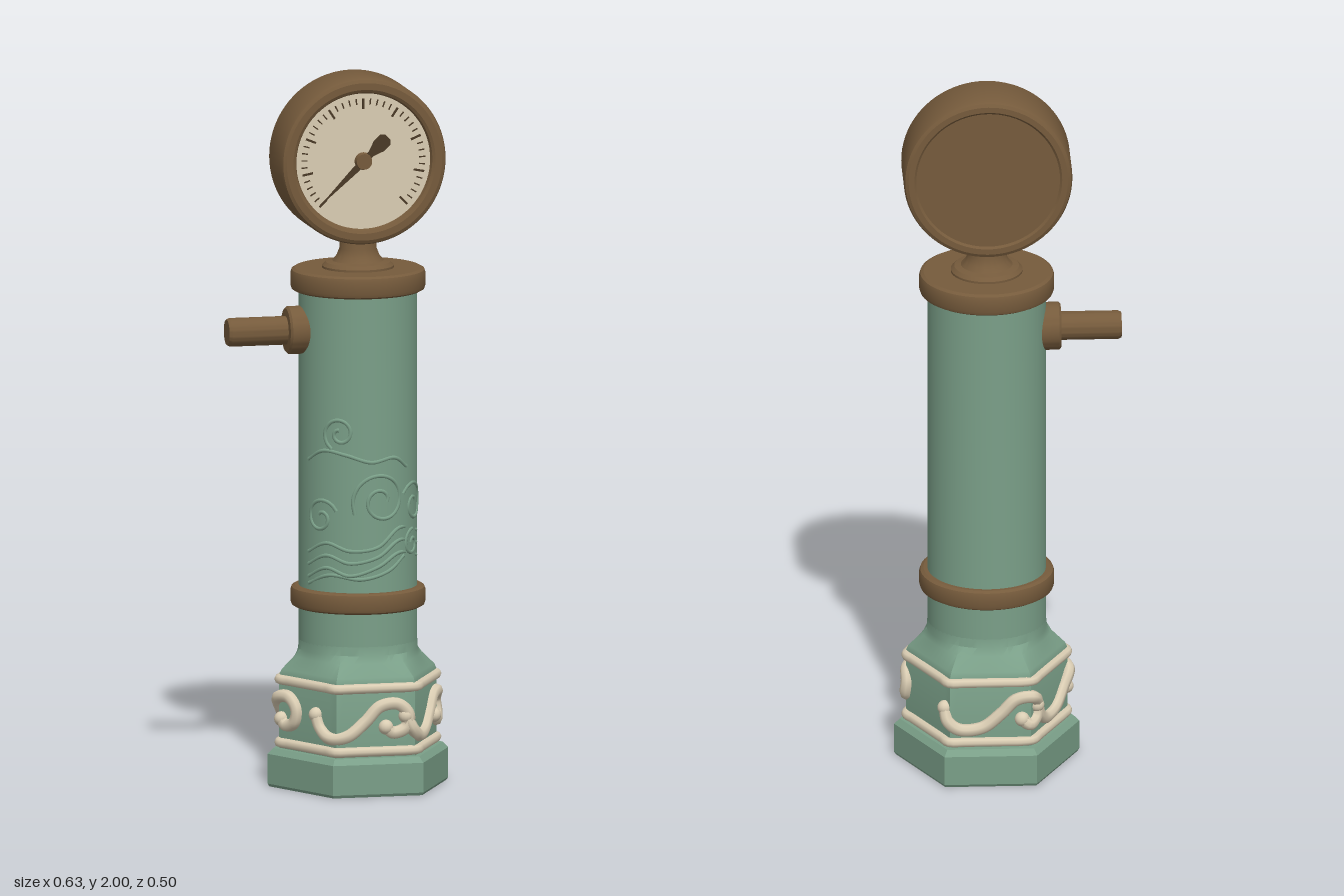
import * as THREE from 'three';
import { toCreasedNormals } from 'three/addons/utils/BufferGeometryUtils.js';

const mat = (name, color) => Object.assign(new THREE.MeshStandardMaterial({ color }), { name });
const V3 = (x, y, z) => new THREE.Vector3(x, y, z);

export function createModel() {
  const green = mat('patinaGreen', 0x7a9f88);
  const bronze = mat('agedBronze', 0x765b3c);
  const cream = mat('ivory', 0xdacdb3);
  const ink = mat('darkInk', 0x4a3a27);

  const root = new THREE.Group();
  root.name = 'pressureGaugeColumn';
  const body = new THREE.Group(); // everything shares this vertical axis
  body.name = 'body';
  body.position.x = 0.055;
  root.add(body);

  const add = (name, geo, material, parent = body, x = 0, y = 0, z = 0) => {
    const m = new THREE.Mesh(geo, material);
    m.name = name;
    m.position.set(x, y, z);
    parent.add(m);
    return m;
  };
  const lathe = (pts, seg = 64) =>
    toCreasedNormals(new THREE.LatheGeometry(pts.map(p => new THREE.Vector2(...p)), seg), 0.5);

  // Rows are [height, radius, hexagon amount]; the section blends circle to hexagon
  const STRETCH = 0.11;
  function loft(rows, n = 60) {
    const pos = [], idx = [];
    rows.forEach(([y, r, k]) => {
      for (let i = 0; i <= n; i++) {
        const a = (i / n) * Math.PI * 2;
        const local = (a % (Math.PI / 3)) - Math.PI / 6;
        const hex = Math.cos(Math.PI / 6) / Math.cos(local);
        const rr = r * (1 - k + k * hex);
        pos.push(rr * Math.cos(a), y, rr * Math.sin(a) * (1 + STRETCH * k));
      }
    });
    for (let j = 0; j < rows.length - 1; j++)
      for (let i = 0; i < n; i++) {
        const a = j * (n + 1) + i, c = a + n + 1;
        idx.push(a, c, a + 1, a + 1, c, c + 1);
      }
    const g = new THREE.BufferGeometry();
    g.setAttribute('position', new THREE.Float32BufferAttribute(pos, 3));
    g.setIndex(idx);
    return toCreasedNormals(g, 0.5);
  }

  // Hexagonal foot, hexagonal drum and round column
  add('foot', loft([[0, 0, 1], [0, 0.253, 1], [0.008, 0.258, 1], [0.092, 0.258, 1], [0.108, 0.242, 1], [0.11, 0, 1]]), green);
  add('drum', loft([[0.1, 0.225, 1], [0.315, 0.225, 1], [0.33, 0.218, 1], [0.365, 0.182, 0.6], [0.385, 0.168, 0.1], [0.41, 0.165, 0]]), green);
  add('column', lathe([[0.165, 0.4], [0.165, 1.41]]), green);

  // Bronze collars and cap
  const collar = (y0, y1, r) => lathe([[0, y0], [r - 0.012, y0], [r - 0.003, y0 + 0.005], [r, y0 + 0.014],
    [r, y1 - 0.014], [r - 0.003, y1 - 0.005], [r - 0.012, y1], [0, y1]]);
  add('lowerCollar', collar(0.503, 0.562, 0.188), bronze);
  add('topCap', collar(1.393, 1.456, 0.188), bronze);
  add('neck', lathe([[0.1, 1.45], [0.1, 1.462], [0.09, 1.472], [0.072, 1.476], [0.06, 1.49], [0.052, 1.51], [0.05, 1.56]], 48), bronze);

  // Side spout
  const spout = add('spout', lathe([[0.067, 0.15], [0.067, 0.2], [0.061, 0.206], [0.04, 0.207], [0.04, 0.366],
    [0.036, 0.375], [0, 0.375]], 40), bronze, body, 0, 1.285, 0);
  spout.rotation.z = Math.PI / 2;

  // Hexagon perimeter walk, starting at the front right-hand corner of the front face
  const hexPoint = (s, y, R) => {
    const corner = i => {
      const a = Math.PI * (2 / 3 - i / 3);
      return V3(R * Math.cos(a), y, R * Math.sin(a) * (1 + STRETCH));
    };
    const lens = [0, 1, 2, 3, 4, 5].map(i => corner(i).distanceTo(corner(i + 1)));
    const total = lens.reduce((a, b) => a + b);
    s = ((s % total) + total) % total;
    let i = 0;
    while (i < 5 && s > lens[i]) s -= lens[i++];
    return corner(i).lerp(corner(i + 1), s / lens[i]);
  };
  const tube = (pts, r, seg, closed = false, tension = 0.5) =>
    new THREE.TubeGeometry(new THREE.CatmullRomCurve3(pts, closed, 'catmullrom', tension), seg, r, 8, closed);

  // Ivory bands around the drum
  for (const [name, y] of [['lowerBand', 0.124], ['upperBand', 0.302]]) {
    const pts = [];
    for (let i = 0; i < 36; i++) pts.push(hexPoint((i / 36) * 1.436, y, 0.227));
    add(name, tube(pts, 0.014, 144, true), cream);
  }

  // Ivory scroll waves wrapped around the drum
  const wave = [[0, 0.222], [0.02, 0.185], [0.06, 0.162], [0.12, 0.17], [0.17, 0.21], [0.21, 0.25], [0.26, 0.257],
    [0.292, 0.228], [0.285, 0.19], [0.25, 0.176], [0.228, 0.192]];
  for (const start of [-0.085, 0.2, 0.7, 0.99]) {
    const pts = wave.map(([u, y]) => hexPoint(start + u, y, 0.229));
    add('scrollWave', tube(pts, 0.018, 80), cream);
    for (const p of [pts[0], pts[pts.length - 1]])
      add('scrollEnd', new THREE.SphereGeometry(0.021, 14, 10), cream, body, p.x, p.y, p.z);
  }

  // Shallow cloud relief on the front of the column
  const onColumn = ([x, y]) => {
    const a = x / 0.165;
    return V3(0.163 * Math.sin(a), y, 0.163 * Math.cos(a));
  };
  const relief = (pts, r = 0.006) => add('cloudRelief', tube(pts.map(onColumn), r, 60), green);
  const spiral = (cx, cy, r, turns, start, dir = 1) => {
    const pts = [];
    for (let i = 0; i <= 20; i++) {
      const t = i / 20, a = start + dir * t * turns * Math.PI * 2, q = r * (1 - 0.8 * t);
      pts.push([cx + q * Math.cos(a), cy + q * Math.sin(a)]);
    }
    return pts;
  };
  relief(spiral(0.03, 0.82, 0.085, 1.6, 3.6, -1));
  relief(spiral(-0.09, 1.01, 0.05, 1.4, 4.2, -1));
  relief(spiral(0.16, 0.8, 0.065, 1.3, 2.6, -1));
  relief(spiral(-0.15, 0.77, 0.055, 1.3, 0.4));
  relief(spiral(0.15, 0.69, 0.04, 1.2, 1.5));
  relief([[-0.2, 0.93], [-0.14, 0.96], [-0.07, 0.95], [0, 0.93], [0.07, 0.94], [0.12, 0.91]]);
  for (let i = 0; i < 3; i++) {
    const d = i * 0.035;
    relief([[-0.2, 0.67 - d], [-0.13, 0.7 - d], [-0.06, 0.68 - d], [0.02, 0.69 - d * 0.8], [0.09, 0.74 - d], [0.19, 0.72 - d]]);
  }
  relief([[-0.2, 0.58], [-0.12, 0.61], [-0.03, 0.6], [0.05, 0.62], [0.11, 0.66]]);

  // Gauge head, its axis turned to face forward
  const gauge = new THREE.Group();
  gauge.name = 'gauge';
  gauge.position.set(0, 1.765, 0);
  body.add(gauge);
  const housing = add('gaugeHousing', lathe([[0, -0.09], [0.2, -0.09], [0.206, -0.096], [0.222, -0.096], [0.231, -0.091],
    [0.235, -0.08], [0.235, 0.066], [0.231, 0.076], [0.222, 0.081], [0.203, 0.081], [0.195, 0.076], [0.19, 0.062], [0, 0.062]], 80), bronze, gauge);
  housing.rotation.x = Math.PI / 2;
  add('dialFace', new THREE.CircleGeometry(0.192, 64), cream, gauge, 0, 0, 0.065);

  // Dial marks sweep from lower left over the top to lower right
  const MARKS = 41;
  for (let i = 0; i < MARKS; i++) {
    const major = i % 5 === 0, len = major ? 0.03 : 0.017;
    const a = Math.PI * (1.25 - (1.5 * i) / (MARKS - 1)), r = 0.177 - len / 2;
    const m = add('dialMark', new THREE.BoxGeometry(len, major ? 0.006 : 0.0035, 0.003), ink, gauge,
      r * Math.cos(a), r * Math.sin(a), 0.066);
    m.rotation.z = a;
  }

  // Needle with a flared tail, drawn along +x then turned to the lower left
  const outline = [[0.168, 0], [0.03, 0.009], [-0.03, 0.009], [-0.06, 0.02], [-0.085, 0.02], [-0.095, 0.01],
    [-0.095, -0.01], [-0.085, -0.02], [-0.06, -0.02], [-0.03, -0.009], [0.03, -0.009]];
  const shape = new THREE.Shape(outline.map(p => new THREE.Vector2(...p)));
  const needle = add('needle', new THREE.ExtrudeGeometry(shape, { depth: 0.006, bevelEnabled: false }), ink, gauge, 0, 0, 0.069);
  needle.rotation.z = Math.PI * 1.245;
  const hub = add('needleHub', new THREE.CylinderGeometry(0.022, 0.025, 0.016, 24), bronze, gauge, 0, 0, 0.073);
  hub.rotation.x = Math.PI / 2;

  return root;
}
